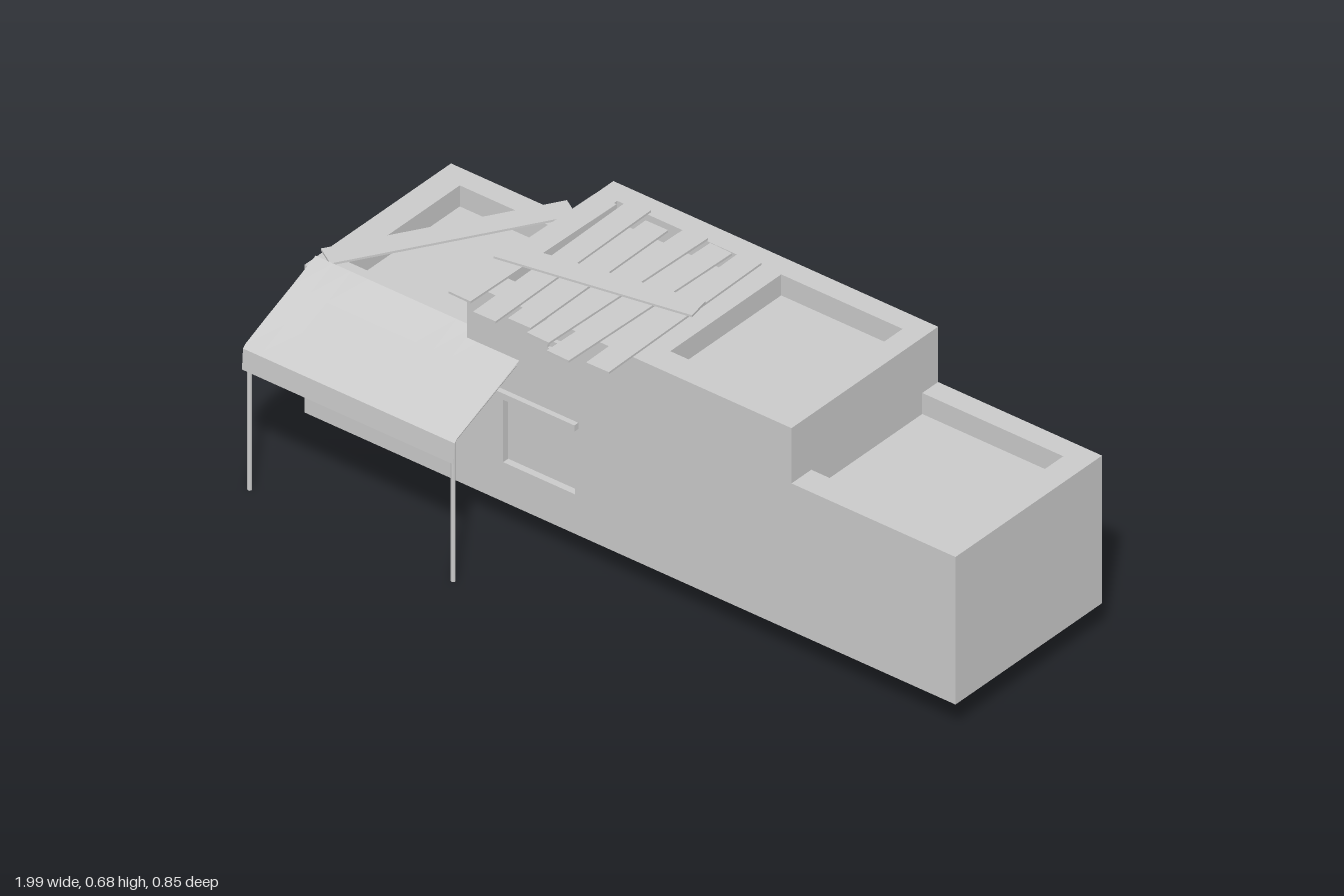
import * as THREE from 'three';

const mat = new THREE.MeshStandardMaterial({ color: 0xcccccc, flatShading: true, side: THREE.DoubleSide });
const X0 = -0.985, X1 = 1, XL = -0.49, XR = 0.5; // outer ends and ends of the tall middle
const Y0 = 0.088, YLOW = 0.51, YTOP = 0.668;
const ZB = -0.38, ZF = 0.175;
const WINDOWS = [[-0.82, -0.6], [-0.38, -0.16]], WY0 = 0.2, WY1 = 0.4;

export function createModel() {
  const model = new THREE.Group();

  const add = (name, geo, parent = model) => {
    const m = new THREE.Mesh(geo, mat);
    m.name = name;
    parent.add(m);
    return m;
  };
  const box = (name, x0, x1, y0, y1, z0, z1, parent) => {
    const m = add(name, new THREE.BoxGeometry(x1 - x0, y1 - y0, z1 - z0), parent);
    m.position.set((x0 + x1) / 2, (y0 + y1) / 2, (z0 + z1) / 2);
    return m;
  };
  const quad = (name, a, b, c, d, parent) => {
    const g = new THREE.BufferGeometry();
    g.setAttribute('position', new THREE.Float32BufferAttribute([a, b, c, a, c, d].flat(), 3));
    g.computeVertexNormals();
    return add(name, g, parent);
  };
  // flat horizontal panel, facing up
  const flat = (name, x0, x1, z0, z1, y, parent) =>
    quad(name, [x0, y, z1], [x1, y, z1], [x1, y, z0], [x0, y, z0], parent);
  // upright panel between two ground points
  const upright = (name, xa, za, xb, zb, y0, y1, parent) =>
    quad(name, [xa, y0, za], [xb, y0, zb], [xb, y1, zb], [xa, y1, za], parent);
  const rod = (name, a, b, r, sides = 8, parent = model) => {
    const p = new THREE.Vector3(...a), q = new THREE.Vector3(...b), d = q.clone().sub(p);
    const m = add(name, new THREE.CylinderGeometry(r, r, d.length(), sides), parent);
    m.position.copy(p).add(q).multiplyScalar(0.5);
    m.quaternion.setFromUnitVectors(new THREE.Vector3(0, 1, 0), d.normalize());
    return m;
  };
  const rect = (P, x0, x1, y0, y1) => {
    const p = new P();
    p.moveTo(x0, y0); p.lineTo(x1, y0); p.lineTo(x1, y1); p.lineTo(x0, y1); p.closePath();
    return p;
  };

  // Stepped outer shell, open underneath
  const shell = new THREE.Group();
  shell.name = 'shell';
  model.add(shell);
  const outline = () => new THREE.Shape([[X0, Y0], [X1, Y0], [X1, YLOW], [XR, YLOW], [XR, YTOP],
    [XL, YTOP], [XL, YLOW], [X0, YLOW]].map(p => new THREE.Vector2(...p)));
  const front = outline();
  for (const [a, b] of WINDOWS) front.holes.push(rect(THREE.Path, a, b, WY0, WY1));
  add('frontWall', new THREE.ShapeGeometry(front), shell).position.z = ZF;
  const back = add('backWall', new THREE.ShapeGeometry(outline()).scale(-1, 1, 1), shell);
  back.geometry.index.array.reverse();
  back.geometry.rotateY(Math.PI).scale(1, 1, 1);
  back.geometry.computeVertexNormals();
  back.position.z = ZB;
  upright('leftEndWall', X1, ZF, X1, ZB, Y0, YLOW, shell);
  upright('rightEndWall', X0, ZB, X0, ZF, Y0, YLOW, shell);
  upright('leftStepWall', XR, ZF, XR, ZB, YLOW, YTOP, shell);
  upright('rightStepWall', XL, ZB, XL, ZF, YLOW, YTOP, shell);

  // Roofs: a rim around a sunken tray
  const HZ0 = -0.32, HZ1 = 0.1, DEPTH = 0.06;
  const roof = (name, x0, x1, y, h0, h1) => {
    const g = new THREE.Group();
    g.name = name;
    model.add(g);
    flat('rimFront', x0, x1, HZ1, ZF, y, g);
    flat('rimBack', x0, x1, ZB, HZ0, y, g);
    if (h0 > x0) flat('rimRight', x0, h0, HZ0, HZ1, y, g);
    if (h1 < x1) flat('rimLeft', h1, x1, HZ0, HZ1, y, g);
    const f = y - DEPTH;
    flat('trayFloor', h0, h1, HZ0, HZ1, f, g);
    upright('trayBack', h0, HZ0, h1, HZ0, f, y, g);
    upright('trayFront', h1, HZ1, h0, HZ1, f, y, g);
    upright('trayRight', h0, HZ1, h0, HZ0, f, y, g);
    upright('trayLeft', h1, HZ0, h1, HZ1, f, y, g);
  };
  roof('rightRoof', X0, XL, YLOW, -0.91, XL);
  roof('middleRightRoof', XL, 0.035, YTOP, -0.43, -0.01);
  roof('middleLeftRoof', 0.035, XR, YTOP, 0.07, 0.44);
  roof('leftRoof', XR, X1, YLOW, XR, 0.93);

  // Windows: lintel, sill and jambs running into the wall, with a recessed pane
  for (const [a, b] of WINDOWS) {
    const g = new THREE.Group();
    g.name = 'window';
    model.add(g);
    box('lintel', a - 0.01, b + 0.01, WY1 - 0.008, WY1 + 0.01, 0.09, 0.19, g);
    box('sill', a, b, WY0 - 0.01, WY0, 0.09, ZF - 0.001, g);
    box('jamb', a - 0.01, a, WY0, WY1, 0.14, ZF - 0.001, g);
    box('jamb', b, b + 0.01, WY0, WY1, 0.14, ZF - 0.001, g);
    box('pane', a, b, WY0, WY1, 0.15, 0.155, g);
  }

  // Wall lamps under the awning
  for (const x of [-0.94, -0.53]) rod('lamp', [x, 0.46, 0.165], [x, 0.46, 0.22], 0.011, 12);

  // Small framed vent high on the front
  const vent = rect(THREE.Shape, -0.24, -0.176, 0.59, 0.62);
  vent.holes.push(rect(THREE.Path, -0.234, -0.182, 0.596, 0.614));
  add('ventFrame', new THREE.ExtrudeGeometry(vent, { depth: 0.012, bevelEnabled: false })).position.z = ZF;
  box('ventPlate', -0.234, -0.182, 0.596, 0.614, ZF, ZF + 0.004);

  // Loose planks over the middle roof: centre x at back and front, back z, front z
  const plank = (name, xa, za, xb, zb, w, y, t) => {
    const m = add(name, new THREE.BoxGeometry(w, t, Math.hypot(xb - xa, zb - za)));
    m.position.set((xa + xb) / 2, y, (za + zb) / 2);
    m.rotation.y = Math.atan2(xb - xa, zb - za);
  };
  const rows = [
    [-0.45, -0.3, -0.46, 0.24], [-0.37, -0.33, -0.36, 0.27], [-0.285, -0.29, -0.278, 0.24],
    [-0.19, -0.325, -0.205, 0.26], [-0.105, -0.31, -0.12, 0.29], [-0.025, -0.32, -0.015, 0.27],
  ];
  for (const [xa, za, xb, zb] of rows) plank('roofPlank', xa, za, xb, zb, 0.068, YTOP + 0.004, 0.006);
  plank('crossPlank', -0.505, 0.03, 0.02, -0.07, 0.068, YTOP + 0.01, 0.006);
  plank('diagonalPlank', -0.963, 0.122, -0.637, -0.405, 0.068, YLOW + 0.004, 0.006);

  // Cloth awning with a hanging front flap, as a sheet swept across x
  const profile = [[0.145, 0.525], [0.235, 0.486], [0.33, 0.447], [0.41, 0.412], [0.42, 0.403], [0.424, 0.345]];
  const awning = new THREE.PlaneGeometry(1, 1, 12, profile.length - 1);
  const p = awning.attributes.position;
  for (let i = 0; i < p.count; i++) {
    const col = i % 13, row = Math.floor(i / 13);
    const sag = row > 0 && row < 3 ? 0.004 * Math.sin(col / 12 * Math.PI) : 0;
    p.setXYZ(i, -0.975 + 0.645 * col / 12, profile[row][1] - sag, profile[row][0]);
  }
  awning.computeVertexNormals();
  add('awning', awning);

  // Awning posts and rails
  for (const x of [-0.963, -0.342]) {
    rod('awningPost', [x, 0, 0.41], [x, 0.402, 0.41], 0.006);
    rod('awningRail', [x, 0.4, 0.41], [x, 0.496, 0.175], 0.005);
  }
  rod('awningCrossRail', [-0.963, 0.4, 0.41], [-0.342, 0.4, 0.41], 0.005);

  return model;
}
